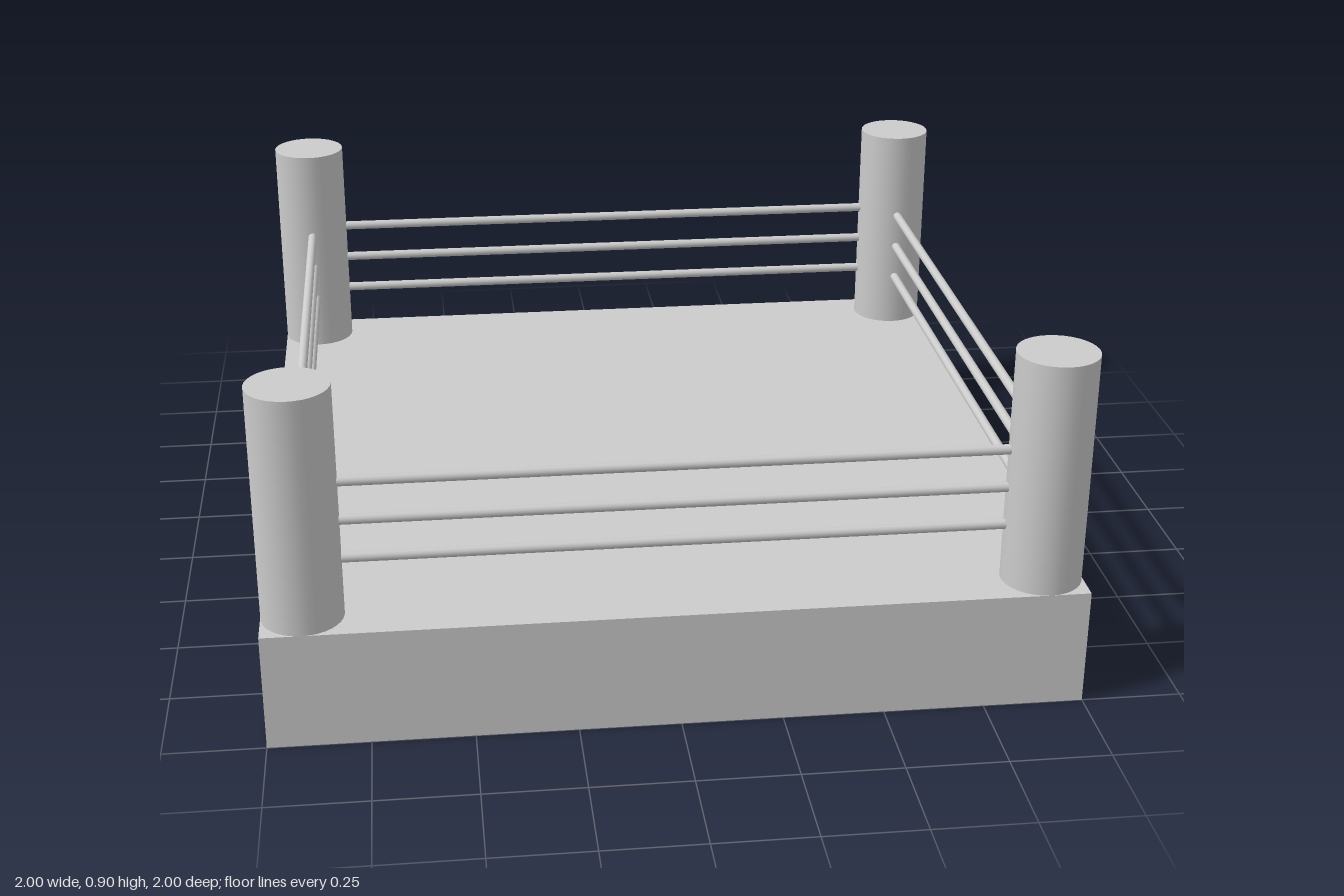
import * as THREE from 'three';

export function createModel() {
  const ring = new THREE.Group();
  ring.name = 'boxingRing';
  const material = new THREE.MeshStandardMaterial({ color: 0xcccccc });

  const add = (name, geometry, x, y, z, parent = ring) => {
    const mesh = new THREE.Mesh(geometry, material);
    mesh.name = name;
    mesh.position.set(x, y, z);
    parent.add(mesh);
    return mesh;
  };

  const platformHeight = 0.3;
  const postHeight = 0.6;
  const inset = 0.9; // distance of posts and ropes from the centre

  // Square platform
  add('platform', new THREE.BoxGeometry(2, platformHeight, 2), 0, platformHeight / 2, 0);

  // Corner posts
  const postGeometry = new THREE.CylinderGeometry(0.1, 0.1, postHeight, 32);
  for (const x of [-inset, inset]) {
    for (const z of [-inset, inset]) {
      add('cornerPost', postGeometry, x, platformHeight + postHeight / 2, z);
    }
  }

  // Three ropes per side, their ends just seated in the posts
  const ropeGeometry = new THREE.CylinderGeometry(0.0125, 0.0125, 1.61, 16).rotateZ(Math.PI / 2);
  ['front', 'left', 'back', 'right'].forEach((side, i) => {
    const ropes = new THREE.Group();
    ropes.name = side + 'Ropes';
    ropes.rotation.y = (i * Math.PI) / 2;
    for (const y of [0.45, 0.55, 0.65]) add('rope', ropeGeometry, 0, y, inset, ropes);
    ring.add(ropes);
  });

  return ring;
}
